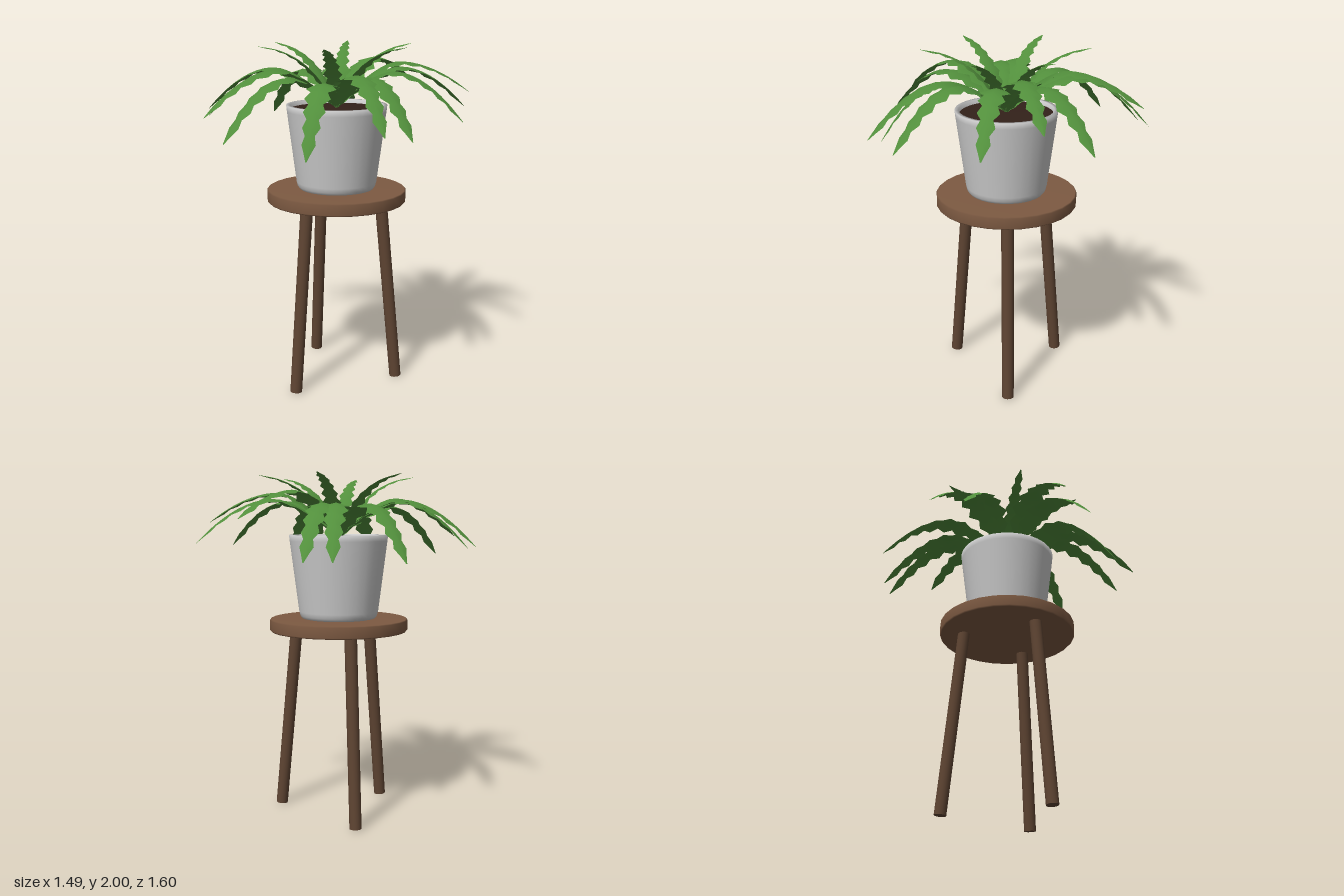
import * as THREE from 'three';

const CX = 0.039, CZ = -0.02; // axis shared by stool, pot and plant

const mat = (color, side = THREE.FrontSide) => new THREE.MeshStandardMaterial({ color, side });

function add(parent, name, geometry, material) {
  const mesh = new THREE.Mesh(geometry, material);
  mesh.name = name;
  parent.add(mesh);
  return mesh;
}

const lathe = (pts, segments) =>
  new THREE.LatheGeometry(pts.map(([r, y]) => new THREE.Vector2(r, y)), segments);

// Midrib that climbs from the soil to a crest, then falls ever more steeply to the tip
function archSpine(reach, crest, tip) {
  const peak = 0.46, base = 1.65, pts = [];
  for (let i = 0; i <= 12; i++) {
    const f = i / 12;
    const y = f < peak
      ? crest - (crest - base) * (1 - f / peak) ** 1.6
      : crest - (crest - tip) * ((f - peak) / (1 - peak)) ** 1.9;
    pts.push([f * reach, y]);
  }
  return pts;
}

// Toothed leaf along +x: an arching midrib with zigzag edges that droop slightly
function leafGeometry(spine, halfWidth, teeth) {
  const curve = new THREE.CatmullRomCurve3(spine.map(([r, y]) => new THREE.Vector3(r, y, 0)));
  const rows = teeth * 2 + 1;
  const pos = [], index = [];
  for (let i = 0; i <= rows; i++) {
    const t = i / rows;
    const p = curve.getPointAt(t), d = curve.getTangentAt(t);
    const envelope = t < 0.38
      ? THREE.MathUtils.lerp(0.15, 1, t / 0.38)
      : THREE.MathUtils.lerp(1, 0.28, (t - 0.38) / 0.62);
    const w = i === rows ? 0.003 : halfWidth * envelope * (i % 2 ? 1 : 0.6);
    const droop = w * 0.25;
    const ex = p.x + d.y * droop, ey = p.y - d.x * droop;
    pos.push(ex, ey, -w, p.x, p.y, 0, ex, ey, w);
    if (i < rows) {
      const a = i * 3;
      for (const k of [a, a + 1]) index.push(k, k + 1, k + 3, k + 1, k + 4, k + 3);
    }
  }
  const g = new THREE.BufferGeometry();
  g.setAttribute('position', new THREE.Float32BufferAttribute(pos, 3));
  g.setIndex(index);
  g.computeVertexNormals();
  return g;
}

export function createModel() {
  const model = new THREE.Group();
  model.name = 'pottedFernOnStool';
  const body = new THREE.Group();
  body.name = 'axisGroup';
  body.position.set(CX, 0, CZ);
  model.add(body);

  // Stool: round, softly shaded seat and three splayed legs
  const stool = new THREE.Group();
  stool.name = 'stool';
  body.add(stool);
  const seat = lathe([[0, 1.104], [0.4, 1.104], [0.407, 1.112], [0.407, 1.17], [0.4, 1.176], [0, 1.176]], 28);
  add(stool, 'seat', seat, mat(0x7d5a42));

  const legMat = mat(0x5e4432);
  const up = new THREE.Vector3(0, 1, 0);
  for (const deg of [91.5, 211.5, 331.5]) {
    const a = THREE.MathUtils.degToRad(deg), c = Math.cos(a), s = Math.sin(a);
    const foot = new THREE.Vector3(c * 0.37, 0.004, s * 0.37);
    const top = new THREE.Vector3(c * 0.262, 1.12, s * 0.262);
    const axis = top.clone().sub(foot);
    const leg = add(stool, 'leg', new THREE.CylinderGeometry(0.036, 0.035, axis.length(), 16), legMat);
    leg.position.copy(foot).add(top).multiplyScalar(0.5);
    leg.quaternion.setFromUnitVectors(up, axis.normalize());
  }

  // Tapered pot with a rounded foot and a hollow rim, filled with soil
  const pot = lathe([
    [0, 1.176], [0.2, 1.176], [0.217, 1.18], [0.228, 1.195], [0.234, 1.22],
    [0.286, 1.63], [0.29, 1.665], [0.268, 1.665], [0.26, 1.62],
  ], 32);
  add(body, 'pot', pot, mat(0xcccccc, THREE.DoubleSide));
  const soil = lathe([[0.264, 1.642], [0.15, 1.645], [0, 1.647]], 32);
  add(body, 'soil', soil, mat(0x33211a, THREE.DoubleSide));

  // Fern
  const fern = new THREE.Group();
  fern.name = 'fern';
  body.add(fern);
  const leafMat = mat(0x528f3c, THREE.DoubleSide);

  // Long arching leaves: tip x, tip z, tip height
  const arching = [
    [0.005, -0.80, 1.755], [0.475, -0.72, 1.62], [0.615, -0.515, 1.735], [0.74, -0.24, 1.6],
    [0.742, 0.265, 1.56], [0.70, 0.45, 1.6], [0.35, 0.625, 1.465], [-0.05, 0.80, 1.535],
    [-0.215, 0.775, 1.65], [-0.60, 0.375, 1.59], [-0.745, 0.24, 1.605], [-0.70, -0.30, 1.535],
    [-0.49, -0.615, 1.545], [-0.385, -0.715, 1.545],
  ];
  for (const [x, z, tip] of arching) {
    const dx = x - CX, dz = z - CZ;
    const crest = 1.82 + (tip - 1.47) * 0.33;
    const spine = archSpine(Math.hypot(dx, dz), crest, tip);
    add(fern, 'archingLeaf', leafGeometry(spine, 0.092, 9), leafMat).rotation.y = -Math.atan2(dz, dx);
  }

  // Six shorter leaves standing up in the middle
  const upright = leafGeometry(
    [[0.01, 1.65], [0.09, 1.79], [0.21, 1.91], [0.34, 1.975], [0.467, 2.0]], 0.057, 8);
  for (let i = 0; i < 6; i++) {
    add(fern, 'uprightLeaf', upright, leafMat).rotation.y = i * Math.PI / 3;
  }

  return model;
}
